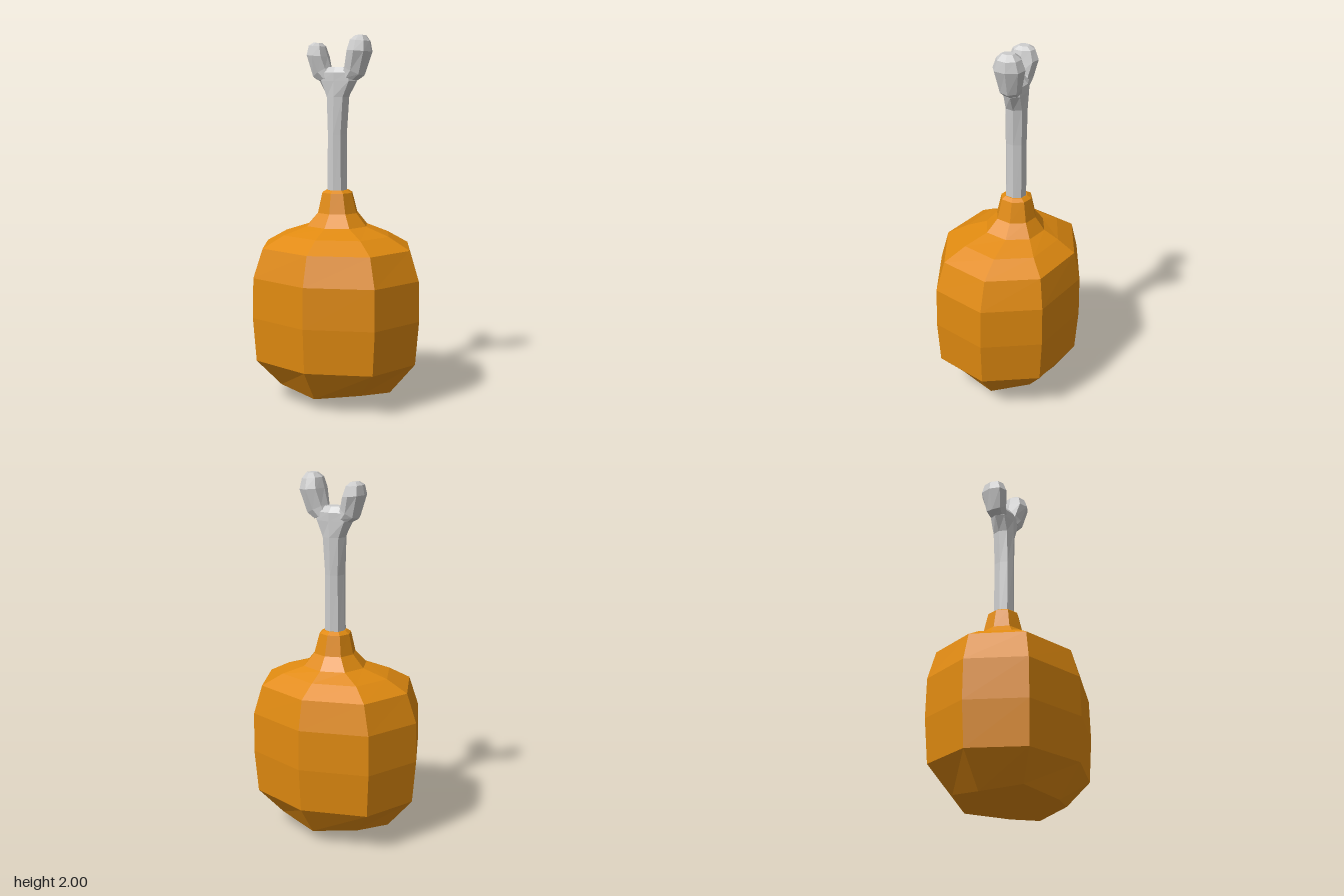
import * as THREE from 'three';

const SIDES = 8;

// Lofts eight-sided rings, listed bottom to top, and closes both ends.
// Ring: [left x, left y, right x, right y, back z, front z, lift of the diagonal corners]
function loft(name, rings, material, bottomY) {
  const pos = [], index = [];
  const centre = ([xl, yl, xr, yr, zb, zf]) => [(xl + xr) / 2, (yl + yr) / 2, (zb + zf) / 2];
  for (const ring of rings) {
    const [xl, yl, xr, yr, zb, zf, lift = 0] = ring;
    const [cx, cy, cz] = centre(ring);
    for (let i = 0; i < SIDES; i++) {
      const a = (i / SIDES) * Math.PI * 2, k = i % 2 ? 1.035 : 1;
      const c = Math.cos(a) * k, s = Math.sin(a) * k;
      pos.push(cx + c * (xr - xl) / 2, cy + c * (yr - yl) / 2 + (i % 2 ? lift : 0), cz + s * (zf - zb) / 2);
    }
  }
  const low = rings.length * SIDES, high = low + 1, last = (rings.length - 1) * SIDES;
  const b = centre(rings[0]);
  pos.push(b[0], bottomY ?? b[1], b[2], ...centre(rings[rings.length - 1]));
  for (let i = 0; i < SIDES; i++) {
    const j = (i + 1) % SIDES;
    for (let r = 0; r < last; r += SIDES) {
      index.push(r + i, r + SIDES + i, r + j, r + j, r + SIDES + i, r + SIDES + j);
    }
    index.push(low, i, j, high, last + j, last + i);
  }
  const geo = new THREE.BufferGeometry();
  geo.setAttribute('position', new THREE.Float32BufferAttribute(pos, 3));
  geo.setIndex(index);
  const flat = geo.toNonIndexed();
  flat.computeVertexNormals();
  const mesh = new THREE.Mesh(flat, material);
  mesh.name = name;
  return mesh;
}

// A horizontal ring: height, left x, right x, back z, front z
const level = (y, xl, xr, zb, zf, lift) => [xl, y, xr, y, zb, zf, lift];

export function createModel() {
  const group = new THREE.Group();
  group.name = 'drumstick';
  const meat = new THREE.MeshStandardMaterial({ color: 0xe08a10, flatShading: true });
  const bone = new THREE.MeshStandardMaterial({ color: 0xcccccc, flatShading: true });

  // Plump meat, with a pointed underside and a collar round the bone
  group.add(loft('meat', [
    level(0.065, -0.325, 0.325, -0.275, 0.275, 0.03),
    level(0.24, -0.47, 0.47, -0.395, 0.395),
    level(0.48, -0.49, 0.49, -0.413, 0.41),
    level(0.70, -0.485, 0.485, -0.41, 0.405),
    level(0.86, -0.43, 0.43, -0.375, 0.36),
    level(0.925, -0.315, 0.305, -0.28, 0.245),
    level(0.97, -0.18, 0.165, -0.2, 0.13),
    level(1.04, -0.12, 0.105, -0.15, 0.07),
    level(1.15, -0.095, 0.075, -0.125, 0.045),
    level(1.165, -0.07, 0.052, -0.1, 0.024),
  ], meat, 0));

  // Bone shaft, widening to the saddle between the knobs
  group.add(loft('boneShaft', [
    level(1.10, -0.065, 0.047, -0.095, 0.02),
    level(1.47, -0.06, 0.043, -0.095, 0.02),
    level(1.67, -0.07, 0.058, -0.1, 0.02),
    level(1.755, -0.115, 0.106, -0.1, 0.02),
    level(1.80, -0.11, 0.1, -0.1, 0.02),
    level(1.83, -0.06, 0.05, -0.075, 0.0),
  ], bone));

  // Two splayed knobs, the left one slightly larger
  group.add(loft('leftKnob', [
    [0.02, 1.79, 0.106, 1.757, -0.09, 0.01],
    [0.035, 1.836, 0.148, 1.783, -0.1, 0.02],
    [0.055, 1.92, 0.187, 1.91, -0.125, 0.045],
    [0.07, 1.974, 0.178, 1.965, -0.105, 0.025],
    [0.1, 1.997, 0.155, 1.997, -0.075, -0.005],
  ], bone));
  group.add(loft('rightKnob', [
    [-0.11, 1.751, -0.03, 1.785, -0.09, 0.01],
    [-0.148, 1.772, -0.05, 1.83, -0.1, 0.02],
    [-0.181, 1.895, -0.068, 1.885, -0.12, 0.04],
    [-0.172, 1.945, -0.085, 1.94, -0.1, 0.02],
    [-0.148, 1.962, -0.105, 1.958, -0.07, -0.01],
  ], bone));

  return group;
}
